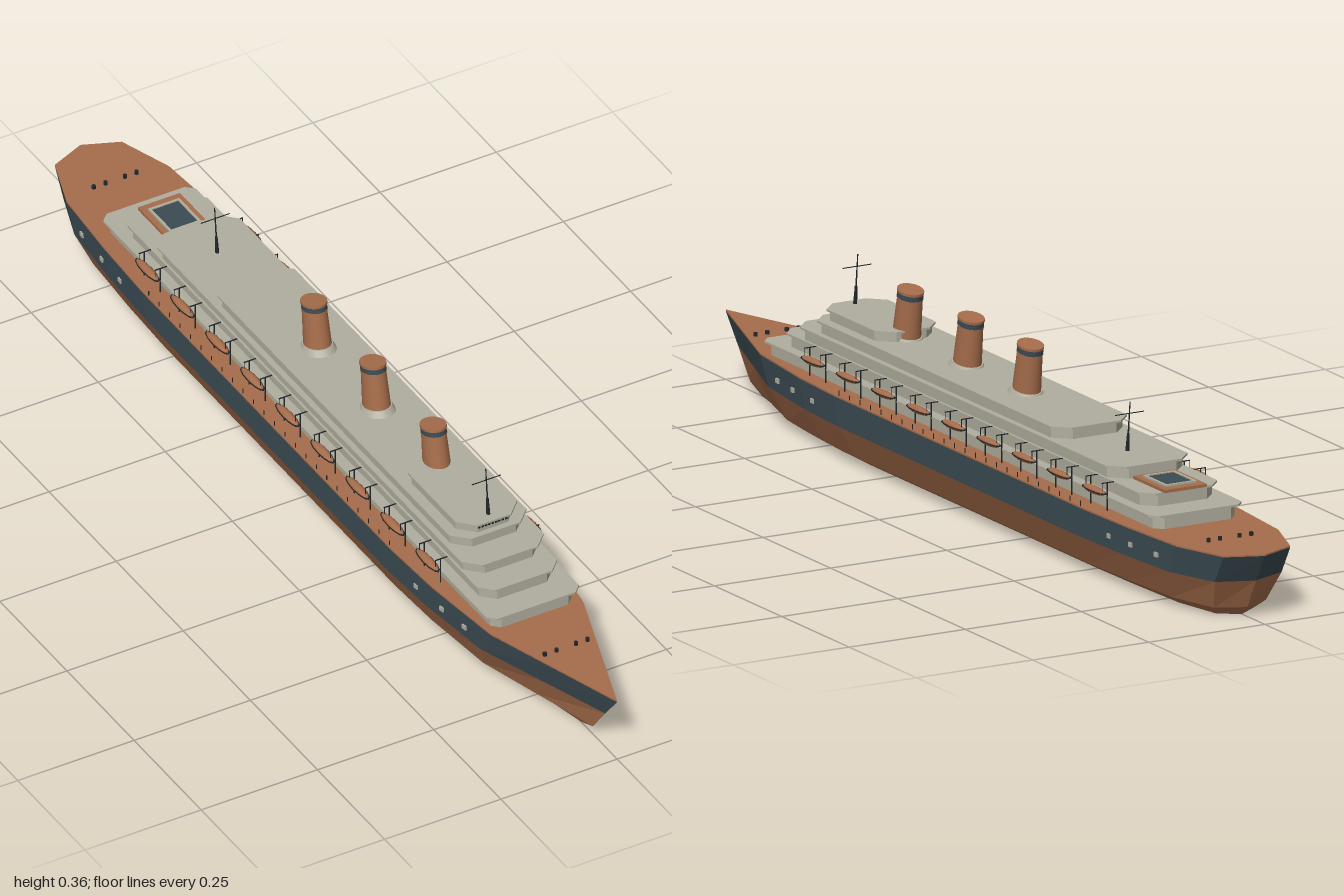
import * as THREE from 'three';

const material = (name, color) => {
  const m = new THREE.MeshStandardMaterial({ color });
  m.name = name;
  return m;
};

export function createModel() {
  const ship = new THREE.Group();
  ship.name = 'oceanLiner';
  const copper = material('copper brown', 0xa66d4b);
  const navy = material('dark slate', 0x3b4b53);
  const cream = material('warm grey', 0xb0ae9e);
  const black = material('near black', 0x20262a);

  const add = (parent, name, geo, mat, x = 0, y = 0, z = 0) => {
    const mesh = new THREE.Mesh(geo, mat);
    mesh.name = name;
    mesh.position.set(x, y, z);
    parent.add(mesh);
    return mesh;
  };
  const box = (w, h, d) => new THREE.BoxGeometry(w, h, d);
  const cyl = (rt, rb, h, n = 8) => new THREE.CylinderGeometry(rt, rb, h, n);

  // Horizontal plate from [x, z] points between two heights
  const slab = (pts, y0, y1) => {
    const shape = new THREE.Shape(pts.map(([x, z]) => new THREE.Vector2(x, -z)));
    const geo = new THREE.ExtrudeGeometry(shape, { depth: y1 - y0, bevelEnabled: false });
    return geo.rotateX(-Math.PI / 2).translate(0, y0, 0);
  };

  // Deck outline: left side bow to stern, then mirrored
  const half = [[0, 1], [0.05, 0.85], [0.1, 0.7], [0.121, 0.52], [0.128, 0.38],
    [0.128, -0.55], [0.122, -0.7], [0.11, -0.86], [0.072, -0.97], [0, -1]];
  const outline = [...half, ...half.slice(1, -1).reverse().map(([x, z]) => [-x, z])];

  // Hull levels: height, width factor, bow reach, stern reach
  const levels = [
    [0, 0.55, 0.865, 0.915], [0.018, 0.78, 0.91, 0.935],
    [0.077, 1, 0.955, 0.967], [0.132, 1, 1, 1],
  ];
  const ring = ([y, w, f, b]) =>
    outline.map(([x, z]) => new THREE.Vector3(x * w, y, z * (z > 0 ? f : b)));
  const loft = (from, to, closeBottom) => {
    const pos = [];
    const tri = (...vs) => vs.forEach((v) => pos.push(v.x, v.y, v.z));
    const n = outline.length;
    for (let l = from; l < to; l++) {
      const a = ring(levels[l]), b = ring(levels[l + 1]);
      for (let i = 0; i < n; i++) {
        const j = (i + 1) % n;
        tri(a[i], b[j], b[i]);
        tri(a[i], a[j], b[j]);
      }
    }
    if (closeBottom) {
      const a = ring(levels[from]);
      const c = new THREE.Vector3(0, levels[from][0], 0);
      for (let i = 0; i < n; i++) tri(c, a[(i + 1) % n], a[i]);
    }
    const geo = new THREE.BufferGeometry();
    geo.setAttribute('position', new THREE.Float32BufferAttribute(pos, 3));
    geo.computeVertexNormals();
    return geo;
  };
  add(ship, 'lowerHull', loft(0, 2, true), copper);
  add(ship, 'upperHull', loft(2, 3, false), navy);
  add(ship, 'mainDeck', slab(outline, 0.132, 0.135), copper);

  // Superstructure tiers: half width, front z, back z, bottom, top, chamfer, wall inset
  const tiers = [
    [0.1, 0.7, -0.757, 0.135, 0.163, 0.016, 0.012],
    [0.086, 0.652, -0.7, 0.163, 0.19, 0.025, 0.008],
    [0.089, 0.602, -0.59, 0.19, 0.215, 0.03, 0.008],
    [0.083, 0.548, -0.375, 0.215, 0.239, 0.03, 0.006],
    [0.066, 0.542, 0.305, 0.239, 0.26, 0.03, 0.004],
  ];
  const chamfered = (w, f, b, c) => [[w - c, f], [w, f - c], [w, b + c], [w - c, b],
    [c - w, b], [-w, b + c], [-w, f - c], [c - w, f]];
  tiers.forEach(([w, f, b, y0, y1, c, inset], i) => {
    const tier = new THREE.Group();
    tier.name = `deckHouse${i + 1}`;
    ship.add(tier);
    add(tier, 'walls', slab(chamfered(w - inset, f - 0.006, b + 0.006, c), y0, y1 - 0.004), cream);
    add(tier, 'roof', slab(chamfered(w, f, b, c), y1 - 0.004, y1), cream);
  });

  // Bridge windows across the front of the top tier
  for (let i = -4; i <= 4; i++) {
    add(ship, 'bridgeWindow', box(0.005, 0.005, 0.002), black, i * 0.0072, 0.25, 0.536);
  }

  // Leaning funnels
  for (const z of [0.33, 0.105, -0.115]) {
    const funnel = new THREE.Group();
    funnel.name = 'funnel';
    funnel.position.set(0, 0.238, z);
    funnel.rotation.x = -0.16;
    funnel.scale.z = 1.2;
    ship.add(funnel);
    add(funnel, 'collar', cyl(0.028, 0.034, 0.012, 20), cream, 0, 0.003);
    add(funnel, 'stack', cyl(0.0225, 0.026, 0.088, 20), copper, 0, 0.044);
    add(funnel, 'darkBand', cyl(0.0232, 0.0235, 0.011, 20), navy, 0, 0.089);
    add(funnel, 'rim', cyl(0.0243, 0.0243, 0.005, 20), copper, 0, 0.097);
    add(funnel, 'lowerRim', cyl(0.024, 0.024, 0.002, 20), copper, 0, 0.083);
  }

  // Masts with crossbars
  for (const [z, y, h, bar] of [[0.52, 0.26, 0.098, 0.074], [-0.49, 0.215, 0.097, 0.074]]) {
    const mast = new THREE.Group();
    mast.name = 'mast';
    mast.position.set(0, y, z);
    mast.rotation.x = -0.1;
    ship.add(mast);
    add(mast, 'pole', cyl(0.001, 0.0018, h, 6), black, 0, h / 2);
    add(mast, 'foot', cyl(0.0025, 0.004, 0.035, 8), black, 0, 0.017);
    add(mast, 'crossbar', box(0.062, 0.0014, 0.0014), black, 0, bar);
  }

  // Swimming pool on the aft deck
  const pool = new THREE.Group();
  pool.name = 'pool';
  pool.position.set(0, 0.19, -0.648);
  ship.add(pool);
  add(pool, 'surround', box(0.09, 0.006, 0.118), copper, 0, 0.003);
  for (const s of [-1, 1]) {
    add(pool, 'sideCoping', box(0.005, 0.004, 0.082), cream, s * 0.031, 0.008);
    add(pool, 'endCoping', box(0.067, 0.004, 0.005), cream, 0, 0.008, s * 0.039);
  }
  add(pool, 'water', box(0.057, 0.002, 0.073), navy, 0, 0.007);

  const boatGeo = new THREE.SphereGeometry(1, 12, 8).scale(0.0095, 0.0075, 0.04);
  for (const s of [-1, 1]) {
    // Lifeboats hung on pairs of davits
    for (let i = 0; i < 9; i++) {
      const boat = new THREE.Group();
      boat.name = 'lifeboat';
      boat.position.set(s * 0.111, 0.171, -0.558 + i * 0.1305);
      ship.add(boat);
      add(boat, 'boatHull', boatGeo, copper);
      add(boat, 'gunwale', cyl(1, 1, 1, 12).scale(0.0105, 0.002, 0.042), black);
      for (const e of [-1, 1]) {
        add(boat, 'davitPost', box(0.002, 0.055, 0.002), black, -s * 0.0105, -0.008, e * 0.03);
        add(boat, 'davitArm', box(0.026, 0.0016, 0.002), black, -s * 0.012, 0.019, e * 0.03);
        add(boat, 'fall', box(0.001, 0.019, 0.001), black, 0, 0.0095, e * 0.03);
      }
    }
    // Deck-edge railing posts
    for (let i = 0; i < 24; i++) {
      add(ship, 'railPost', box(0.0014, 0.01, 0.0014), black, s * 0.124, 0.14, -0.53 + i * 0.039);
    }
    // Mooring bollards fore and aft
    for (const z of [0.81, -0.87]) {
      for (const x of [0.021, 0.046]) {
        add(ship, 'bollard', cyl(0.004, 0.004, 0.008), black, s * x, 0.138, z);
      }
    }
    // Hull hatches, laid along the local slope of the side
    for (const z of [0.62, 0.55, 0.465, -0.636, -0.71, -0.795]) {
      const k = half.findIndex((p) => p[1] < z);
      const [x0, z0] = half[k - 1], [x1, z1] = half[k];
      const x = x0 + ((x1 - x0) * (z0 - z)) / (z0 - z1);
      const hatch = add(ship, 'hullHatch', box(0.004, 0.009, 0.011), cream, s * x, 0.102, z);
      hatch.rotation.y = s * Math.atan2(x1 - x0, z1 - z0);
    }
  }
  return ship;
}
